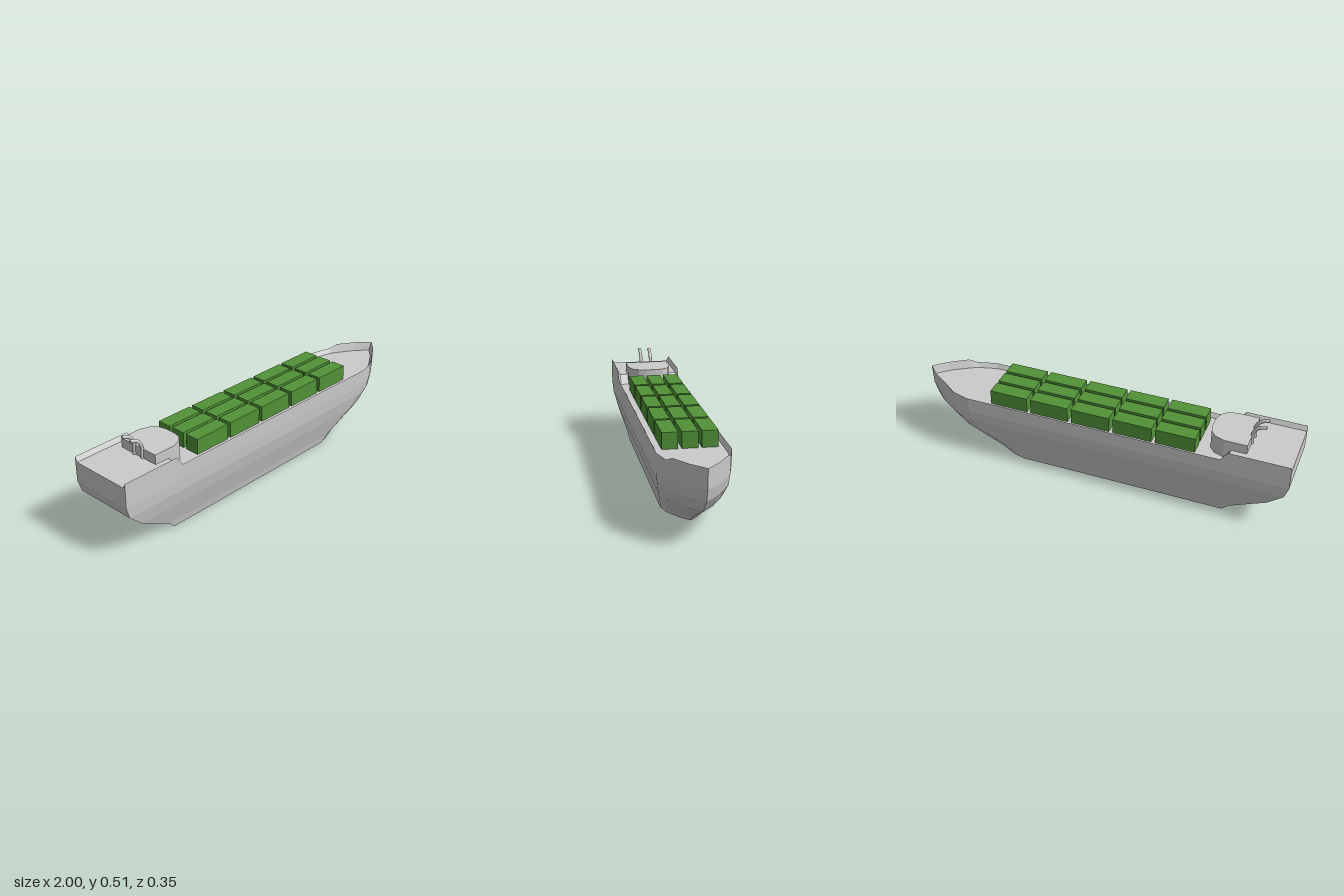
import * as THREE from 'three';

const grey = new THREE.MeshStandardMaterial({ color: 0xcccccc, flatShading: true });
const smoothGrey = new THREE.MeshStandardMaterial({ color: 0xcccccc, side: THREE.DoubleSide });
const green = new THREE.MeshStandardMaterial({ color: 0x529338, flatShading: true });

// Hull outlines from keel to sheer: y, half width, stern x, start of bow curve, bow tip x
const levels = [
  [0, 0.112, -0.67, 0.43, 0.62],
  [0.04, 0.12, -0.71, 0.47, 0.67],
  [0.15, 0.152, -0.9, 0.62, 0.9],
  [0.225, 0.168, -0.98, 0.68, 0.975],
  [0.285, 0.172, -1, 0.695, 0.995],
  [0, 0.173, -1, 0.7, 1],       // rim, height set per station
  [0, 0.16, -1, 0.69, 0.98],    // inner deck edge, height set per station
];

// Stations from stern to bow: [straight fraction, bow fraction, width factor, rim y, deck y]
const stations = [
  [0, 0, 1, 0.415, 0.39],
  [0.182, 0, 1, 0.415, 0.39],
  [0.203, 0, 1, 0.365, 0.34],
  [1, 0, 1, 0.365, 0.34],
  [1, 0.333, 0.84, 0.365, 0.34],
  [1, 0.467, 0.72, 0.385, 0.34],
  [1, 0.78, 0.36, 0.385, 0.34],
  [1, 1, 0, 0.385, 0.34],
];

function hullPoint(row, i, side) {
  const [y, w, stern, start, tip] = levels[row];
  const [f, b, g, rimY, deckY] = stations[i];
  const x = stern + (start - stern) * f + (tip - start) * b;
  return [x, row === 5 ? rimY : row === 6 ? deckY : y, w * g * side];
}

function hullGeometry() {
  const pos = [];
  const tri = (a, b, c) => pos.push(...a, ...b, ...c);
  const quad = (a, b, c, d) => { tri(a, b, c); tri(a, c, d); };
  const P = (r, i) => hullPoint(r, i, 1);
  const M = (r, i) => hullPoint(r, i, -1);
  for (let i = 0; i < stations.length - 1; i++) {
    // Side plating and inner bulwark, mirrored
    for (let r = 0; r < 6; r++) {
      quad(P(r, i), P(r, i + 1), P(r + 1, i + 1), P(r + 1, i));
      quad(M(r, i + 1), M(r, i), M(r + 1, i), M(r + 1, i + 1));
    }
    // Deck and flat bottom
    quad(P(6, i), P(6, i + 1), M(6, i + 1), M(6, i));
    quad(M(0, i), M(0, i + 1), P(0, i + 1), P(0, i));
  }
  // Transom with raised corners
  for (let r = 0; r < 4; r++) quad(M(r, 0), P(r, 0), P(r + 1, 0), M(r + 1, 0));
  quad(M(4, 0), P(4, 0), P(6, 0), M(6, 0));
  tri(P(4, 0), P(5, 0), P(6, 0));
  tri(M(4, 0), M(6, 0), M(5, 0));
  const geo = new THREE.BufferGeometry();
  geo.setAttribute('position', new THREE.Float32BufferAttribute(pos, 3));
  geo.computeVertexNormals();
  return geo;
}

function add(parent, name, geometry, material, x = 0, y = 0, z = 0) {
  const mesh = new THREE.Mesh(geometry, material);
  mesh.name = name;
  mesh.position.set(x, y, z);
  parent.add(mesh);
  return mesh;
}

export function createModel() {
  const ship = new THREE.Group();
  ship.name = 'cargoShip';
  add(ship, 'hull', hullGeometry(), grey);

  // Bridge house with a rounded front
  const half = [[-0.77, 0.117], [-0.655, 0.117], [-0.605, 0.1], [-0.578, 0.068], [-0.57, 0.03]];
  const outline = [...half, ...half.map(([x, z]) => [x, -z]).reverse()];
  const shape = new THREE.Shape(outline.map(([x, z]) => new THREE.Vector2(x, z)));
  const house = new THREE.ExtrudeGeometry(shape, { depth: 0.1, bevelEnabled: false });
  house.rotateX(-Math.PI / 2);
  add(ship, 'bridgeHouse', house, grey, 0, 0.34, 0);

  // Two exhaust pipes curving aft
  const path = new THREE.CurvePath();
  const v = (x, y) => new THREE.Vector3(x, y, 0);
  path.add(new THREE.LineCurve3(v(-0.77, 0.37), v(-0.77, 0.435)));
  path.add(new THREE.CubicBezierCurve3(v(-0.77, 0.435), v(-0.77, 0.472), v(-0.799, 0.501), v(-0.836, 0.501)));
  for (const side of [1, -1]) {
    const pipe = new THREE.Group();
    pipe.name = 'exhaustPipe';
    pipe.position.z = side * 0.0275;
    add(pipe, 'pipeTube', new THREE.TubeGeometry(path, 20, 0.009, 12), smoothGrey);
    const cap = add(pipe, 'pipeEnd', new THREE.CircleGeometry(0.009, 12), smoothGrey, -0.836, 0.501, 0);
    cap.rotation.y = -Math.PI / 2;
    ship.add(pipe);
  }

  // Deck cargo: five rows of three containers
  const cargo = new THREE.Group();
  cargo.name = 'containers';
  const box = new THREE.BoxGeometry(0.204, 0.082, 0.077);
  for (let i = 0; i < 5; i++)
    for (let k = -1; k <= 1; k++)
      add(cargo, 'container', box, green, -0.416 + i * 0.2235, 0.38, -0.0035 + k * 0.0945);
  ship.add(cargo);
  return ship;
}
